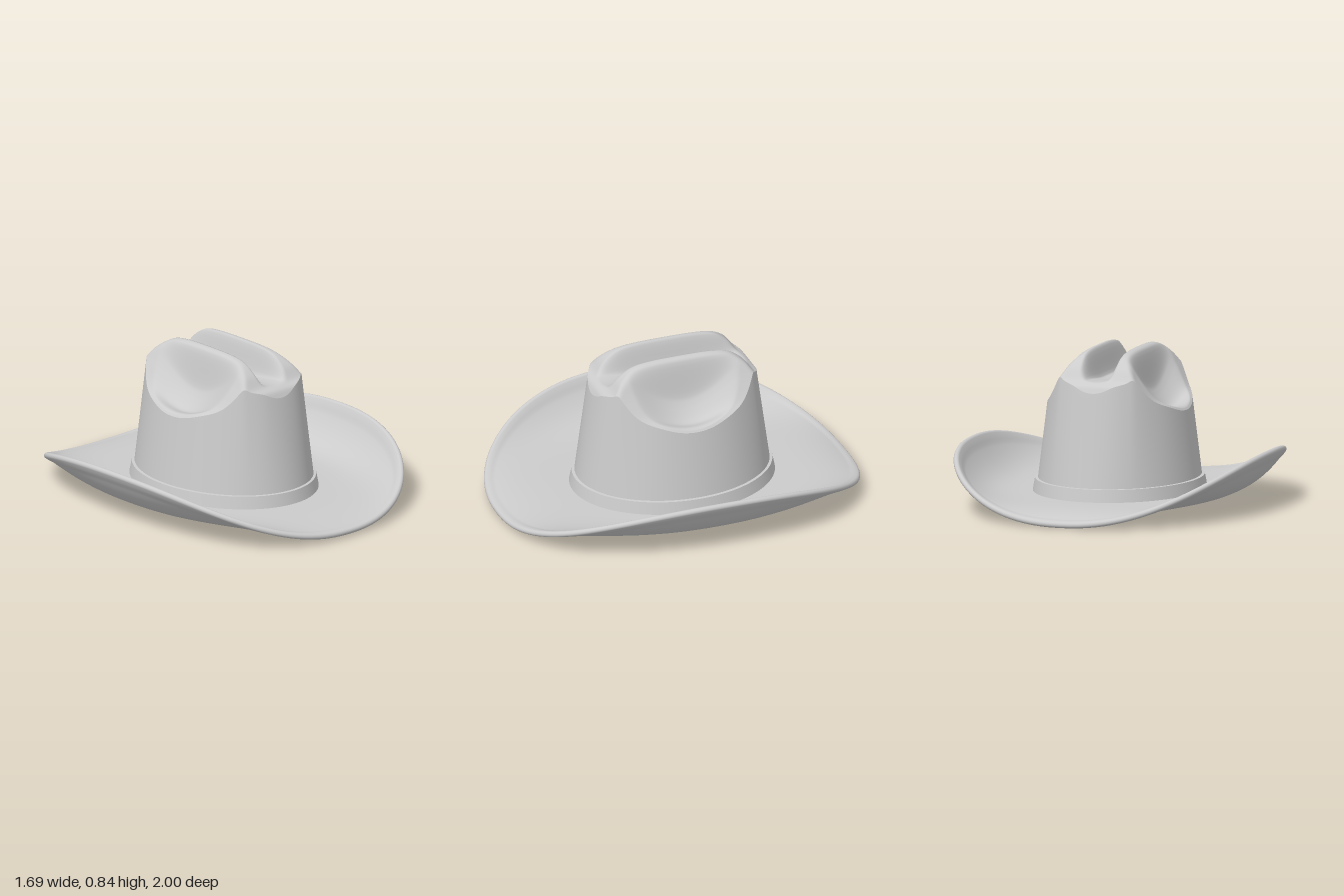
import * as THREE from 'three';
import { ParametricGeometry } from 'three/addons/geometries/ParametricGeometry.js';
import { mergeVertices, toCreasedNormals } from 'three/addons/utils/BufferGeometryUtils.js';

const { smoothstep, lerp, clamp } = THREE.MathUtils;

// Smooth curve through [x, y] points, sampled by x
function curve(points) {
  const slope = i => {
    const a = points[Math.max(i - 1, 0)], b = points[Math.min(i + 1, points.length - 1)];
    return (b[1] - a[1]) / (b[0] - a[0]);
  };
  return x => {
    x = clamp(x, points[0][0], points[points.length - 1][0]);
    let i = 0;
    while (i < points.length - 2 && x > points[i + 1][0]) i++;
    const [x0, y0] = points[i], [x1, y1] = points[i + 1];
    const d = x1 - x0, t = (x - x0) / d, t2 = t * t, t3 = t2 * t;
    return y0 * (2 * t3 - 3 * t2 + 1) + y1 * (3 * t2 - 2 * t3)
      + d * (slope(i) * (t3 - 2 * t2 + t) + slope(i + 1) * (t3 - t2));
  };
}

// Surface with seams welded so that shading runs across them
function surface(fn, slices, stacks) {
  const geo = new ParametricGeometry(fn, slices, stacks);
  geo.deleteAttribute('normal');
  geo.deleteAttribute('uv');
  const welded = mergeVertices(geo, 1e-5);
  welded.computeVertexNormals();
  return welded;
}

// Crown height: two dome profiles, a centre groove and two side dents
const acrossProfile = curve([[0, 0.855], [0.1, 0.855], [0.13, 0.845], [0.164, 0.8], [0.218, 0.707],
  [0.286, 0.605], [0.35, 0.548], [0.378, 0.515]]);
const alongProfile = curve([[0, 0.855], [0.15, 0.85], [0.27, 0.825], [0.353, 0.77], [0.4, 0.71],
  [0.44, 0.683], [0.46, 0.648]]);

function crownHeight(x, z) {
  x = Math.abs(x);
  z = Math.abs(z);
  const p = acrossProfile(x), q = alongProfile(z), k = 0.04;
  const blend = Math.max(k - Math.abs(p - q), 0) / k;
  let y = Math.min(p, q) - blend * blend * k / 4;
  const floor = Math.min(y, lerp(0.68, 0.702, smoothstep(z, 0.1, 0.38)) + 2 * x * x);
  y = lerp(floor, y, smoothstep(x, 0.055, 0.105));
  const e = ((x - 0.16) / 0.21) ** 2 + (z / 0.31) ** 2;
  return y - 0.14 * Math.max(1 - e, 0) ** 1.3 * smoothstep(x, 0.14, 0.19);
}

// Strips run up the front wall, over the top and down the back wall
function crownPoint(u, v, target) {
  const c = -Math.cos(Math.PI * u), s = Math.sin(Math.PI * u);
  const x = 0.378 * c, edge = 0.46 * s;
  if (v > 0.2 && v < 0.8) {
    const z = edge * Math.cos(Math.PI * (v - 0.2) / 0.6);
    return target.set(x, crownHeight(x, z), z);
  }
  const w = Math.min(v, 1 - v) / 0.2;
  target.set(lerp(0.435, 0.378, w) * c, lerp(0.06, crownHeight(x, edge), w),
    lerp(0.545, 0.46, w) * s * (v < 0.5 ? 1 : -1));
}

// Brim: a thick sheet swept around, with rounded rim and opening
function brimPoint(u, v, target) {
  const c = Math.cos(2 * Math.PI * u), s = -Math.sin(2 * Math.PI * u);
  const bulge = n => Math.sign(n) * Math.abs(n) ** (2 / 2.3);
  const inX = 0.437 * c, inZ = 0.546 * s;
  const dx = 0.83 * bulge(c) - inX, dz = 0.984 * bulge(s) - inZ, d = Math.hypot(dx, dz);
  const rise = 0.024 + 0.273 * Math.abs(bulge(c)) ** 2.2 + 0.006 * s - 0.065;

  let t, angle;
  if (v < 0.42) { t = v / 0.42; angle = -Math.PI / 2; }
  else if (v < 0.5) { t = 1; angle = Math.PI * ((v - 0.42) / 0.08 - 0.5); }
  else if (v < 0.92) { t = 1 - (v - 0.5) / 0.42; angle = Math.PI / 2; }
  else { t = 0; angle = Math.PI * ((v - 0.92) / 0.08 + 0.5); }

  const slope = rise * 3.4 * t ** 2.4 / d, len = Math.hypot(1, slope);
  const h = 0.012 + 0.005 * smoothstep(t, 0.92, 0.97);
  const out = h * (Math.cos(angle) - slope * Math.sin(angle)) / len;
  const up = h * (slope * Math.cos(angle) + Math.sin(angle)) / len;
  target.set(inX + dx * (t + out / d), 0.065 + rise * t ** 3.4 + up, inZ + dz * (t + out / d));
}

// Band: four-sided section following the crown wall
const bandSection = [[-0.005, 0.075], [0.02, 0.075], [0.016, 0.145], [-0.005, 0.147], [-0.005, 0.075]];
function bandPoint(u, v, target) {
  const i = Math.min(Math.floor(v * 4 + 1e-6), 3), f = v * 4 - i;
  const off = lerp(bandSection[i][0], bandSection[i + 1][0], f);
  const y = lerp(bandSection[i][1], bandSection[i + 1][1], f);
  target.set((0.435 - 0.124 * (y - 0.06) + off) * Math.cos(2 * Math.PI * u), y,
    -(0.545 - 0.145 * (y - 0.06) + off) * Math.sin(2 * Math.PI * u));
}

export function createModel() {
  const group = new THREE.Group();
  group.name = 'hat';
  const felt = new THREE.MeshStandardMaterial({ color: 0xcccccc, side: THREE.DoubleSide });
  const add = (name, geometry) => {
    const mesh = new THREE.Mesh(geometry, felt);
    mesh.name = name;
    group.add(mesh);
  };
  add('crown', surface(crownPoint, 160, 100));
  add('brim', surface(brimPoint, 128, 100));
  add('hatBand', toCreasedNormals(surface(bandPoint, 128, 4), 0.6));
  return group;
}
